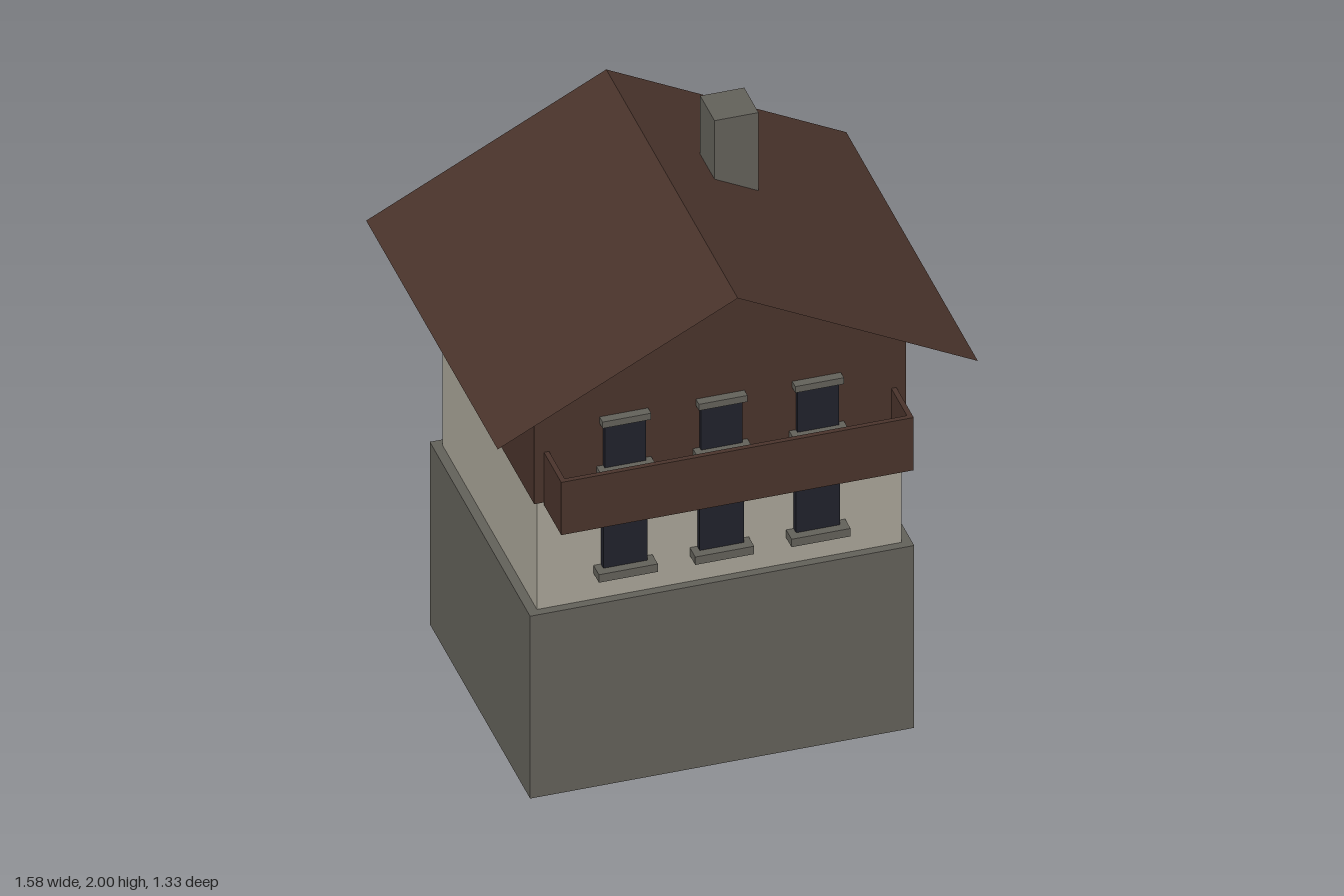
import * as THREE from 'three';

export function createModel() {
  const house = new THREE.Group();
  house.name = 'house';

  const material = (name, color, side = THREE.FrontSide) => {
    const m = new THREE.MeshStandardMaterial({ color, side });
    m.name = name;
    return m;
  };
  const stone = material('stone', 0x626059, THREE.DoubleSide);
  const plaster = material('plaster', 0xa7a396);
  const wood = material('brown wood', 0x49332b, THREE.DoubleSide);
  const glass = material('dark glass', 0x20212b);

  const add = (parent, name, geometry, mat) => {
    const mesh = new THREE.Mesh(geometry, mat);
    mesh.name = name;
    parent.add(mesh);
    return mesh;
  };
  // Box given by its limits on each axis
  const box = (parent, name, mat, [x0, x1], [y0, y1], [z0, z1]) => {
    const g = new THREE.BoxGeometry(x1 - x0, y1 - y0, z1 - z0);
    g.translate((x0 + x1) / 2, (y0 + y1) / 2, (z0 + z1) / 2);
    return add(parent, name, g, mat);
  };

  // Stone base, hollow and open underneath (the bottom face is dropped)
  const base = box(house, 'stoneBase', stone, [-0.632, 0.632], [0, 0.692], [-0.507, 0.507]).geometry;
  const faces = Array.from(base.index.array);
  faces.splice(18, 6);
  base.setIndex(faces);
  base.clearGroups();

  // Plastered middle floor
  box(house, 'middleFloor', plaster, [-0.6, 0.6], [0.692, 1.1], [-0.478, 0.478]);

  // Wooden upper floor with its gables
  const gable = new THREE.Shape([
    [-0.612, 1.1], [0.612, 1.1], [0.612, 1.46], [0, 1.853], [-0.612, 1.46],
  ].map(([x, y]) => new THREE.Vector2(x, y)));
  const upper = new THREE.ExtrudeGeometry(gable, { depth: 0.974, bevelEnabled: false });
  upper.translate(0, 0, -0.487);
  add(house, 'upperFloor', upper, wood);

  // Two thin roof slopes meeting at the ridge
  const ridge = 1.868, eave = 1.462, halfWidth = 0.79, halfDepth = 0.665;
  for (const side of [-1, 1]) {
    const slope = new THREE.PlaneGeometry(Math.hypot(halfWidth, ridge - eave), halfDepth * 2);
    slope.rotateX(-Math.PI / 2);
    slope.rotateZ(-side * Math.atan2(ridge - eave, halfWidth));
    slope.translate(side * halfWidth / 2, (ridge + eave) / 2, 0);
    add(house, side > 0 ? 'leftRoofSlope' : 'rightRoofSlope', slope, wood);
  }

  // Chimney
  box(house, 'chimney', stone, [0.175, 0.32], [1.69, 2], [-0.253, -0.108]);

  // Balcony: floor, front panel and two end panels
  const balcony = new THREE.Group();
  balcony.name = 'balcony';
  house.add(balcony);
  box(balcony, 'balconyFloor', wood, [-0.565, 0.565], [1.1, 1.13], [0.487, 0.645]);
  box(balcony, 'balconyFront', wood, [-0.58, 0.58], [1.09, 1.29], [0.645, 0.662]);
  for (const s of [-1, 1]) {
    const xs = [s * 0.563, s * 0.58].sort((a, b) => a - b);
    box(balcony, 'balconyEnd', wood, xs, [1.09, 1.29], [0.487, 0.645]);
  }

  // Windows: pane, lintel and sill, three per floor on front and back
  const floors = [
    { wall: 0.478, bottom: 0.82, top: 1.0, pane: 0.0725, lintel: 0.09, sill: 0.097 },
    { wall: 0.487, bottom: 1.2, top: 1.362, pane: 0.068, lintel: 0.08, sill: 0.09 },
  ];
  for (const f of floors) {
    for (const facing of [0, Math.PI]) {
      for (const x of [-0.317, 0, 0.317]) {
        const w = new THREE.Group();
        w.name = 'window';
        w.position.x = x;
        const wall = new THREE.Group();
        wall.name = facing ? 'backWindow' : 'frontWindow';
        wall.rotation.y = facing;
        wall.add(w);
        house.add(wall);
        box(w, 'pane', glass, [-f.pane, f.pane], [f.bottom, f.top], [f.wall - 0.01, 0.503]);
        box(w, 'lintel', stone, [-f.lintel, f.lintel], [f.top, f.top + 0.024], [f.wall - 0.01, 0.518]);
        box(w, 'sill', stone, [-f.sill, f.sill], [f.bottom - 0.03, f.bottom], [f.wall - 0.01, 0.533]);
      }
    }
  }

  return house;
}
